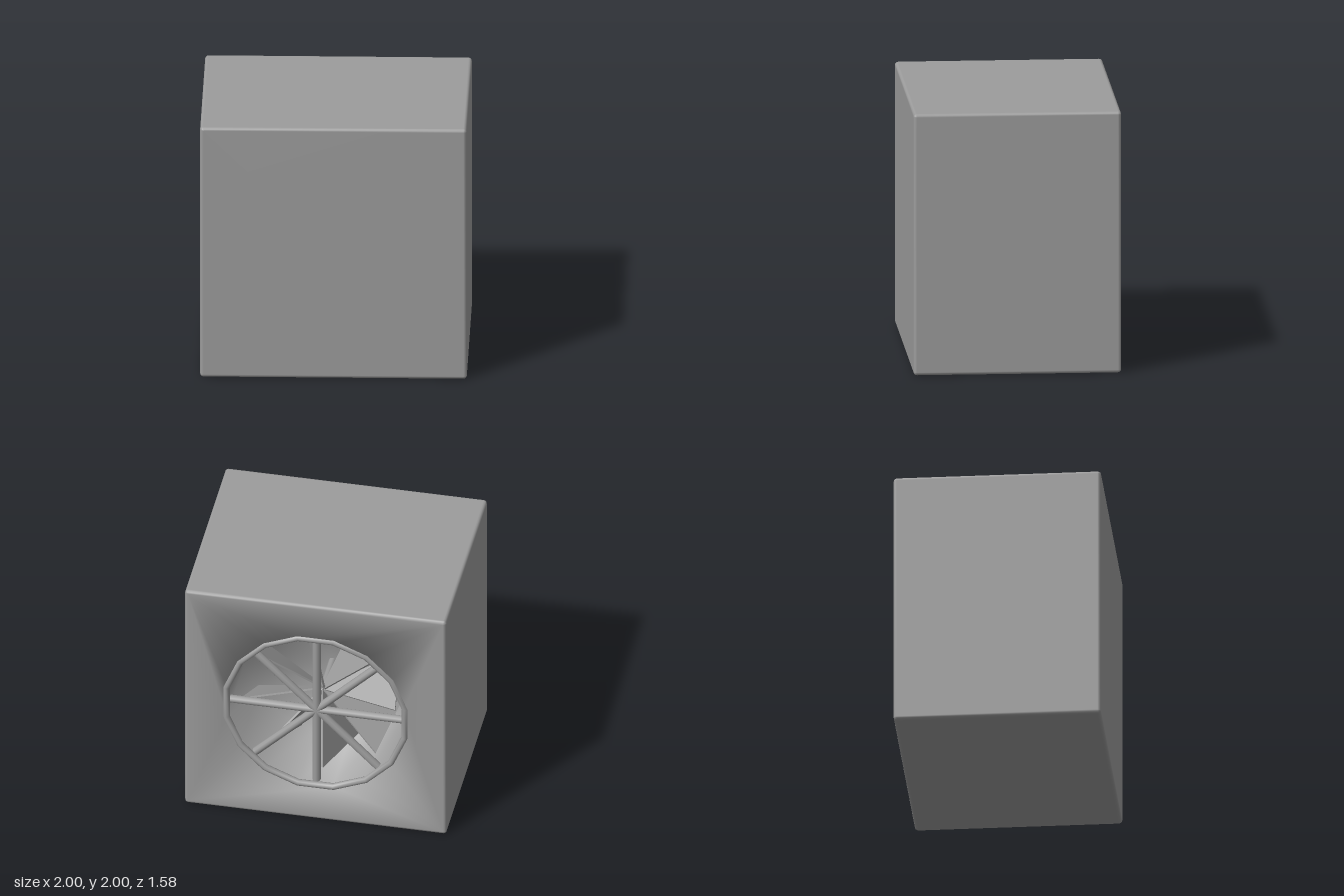
import * as THREE from 'three';

const FRONT = 0.785, BACK = -0.775, EDGE = 0.025, HOLE = 0.69, FLOOR = -0.12;
const SIDES = 16;
const grey = new THREE.MeshStandardMaterial({ color: 0x9c9c9c });

function add(parent, name, geometry) {
  const mesh = new THREE.Mesh(geometry, grey);
  mesh.name = name;
  parent.add(mesh);
  return mesh;
}

// Rounded square outline, four points per corner
function square(half, radius, z) {
  return Array.from({ length: SIDES }, (_, i) => {
    const corner = Math.floor(i / 4);
    const a = (corner + (i % 4) / 3) * Math.PI / 2;
    const sx = corner === 0 || corner === 3 ? 1 : -1, sy = corner < 2 ? 1 : -1;
    return [sx * half + radius * Math.cos(a), sy * half + radius * Math.sin(a), z];
  });
}

function circle(radius, z) {
  return Array.from({ length: SIDES }, (_, i) => {
    const a = (i + 0.5) * 2 * Math.PI / SIDES;
    return [radius * Math.cos(a), radius * Math.sin(a), z];
  });
}

// Joins closed sections, listed from the front around to the recess floor
function loft(sections) {
  const index = [];
  for (let s = 0; s < sections.length - 1; s++) {
    for (let i = 0; i < SIDES; i++) {
      const a = s * SIDES + i, b = s * SIDES + (i + 1) % SIDES;
      index.push(a, a + SIDES, b, b, a + SIDES, b + SIDES);
    }
  }
  const geometry = new THREE.BufferGeometry();
  geometry.setAttribute('position', new THREE.Float32BufferAttribute(sections.flat(2), 3));
  geometry.setIndex(index);
  geometry.computeVertexNormals();
  return geometry;
}

export function createModel() {
  const model = new THREE.Group();
  model.name = 'boxFan';
  const center = new THREE.Group();
  center.name = 'fanBody';
  center.position.y = 1;
  model.add(center);

  // Housing: soft-edged box with a round recess in the back, shaded smoothly into the opening
  const sections = [circle(0, FRONT)];
  for (const end of [1, -1]) {
    for (let k = 0; k <= 3; k++) {
      const a = (end > 0 ? k : 3 - k) * Math.PI / 6;
      const z = (end > 0 ? FRONT : BACK) - end * EDGE * (1 - Math.cos(a));
      sections.push(square(1 - EDGE, EDGE * Math.sin(a), z));
    }
  }
  sections.push(circle(HOLE, BACK), circle(HOLE, FLOOR), circle(0, FLOOR));
  add(center, 'housing', loft(sections));

  // Everything below is laid out as seen from behind
  const assembly = new THREE.Group();
  assembly.name = 'fanAssembly';
  assembly.rotation.y = Math.PI;
  center.add(assembly);

  // Rim around the opening
  const rim = add(assembly, 'rim', new THREE.TorusGeometry(0.695, 0.026, 8, SIDES));
  rim.rotation.z = Math.PI / SIDES;
  rim.position.z = 0.764;

  // Guard of four crossing rods
  for (let i = 0; i < 4; i++) {
    const rod = add(assembly, 'guardRod', new THREE.CylinderGeometry(0.031, 0.031, 1.32, 10));
    rod.rotation.z = i * Math.PI / 4;
    rod.position.z = 0.725;
  }

  // Rotor: shaft and eight steeply pitched, flaring blades
  const rotor = new THREE.Group();
  rotor.name = 'rotor';
  rotor.position.z = 0.45;
  assembly.add(rotor);
  const shaft = add(rotor, 'shaft', new THREE.CylinderGeometry(0.03, 0.03, 0.36, 10));
  shaft.rotation.x = Math.PI / 2;
  shaft.position.z = -0.16;

  const outline = new THREE.Shape([
    new THREE.Vector2(0, -0.02), new THREE.Vector2(0.58, -0.24),
    new THREE.Vector2(0.58, 0.24), new THREE.Vector2(0, 0.02),
  ]);
  const bladeGeometry = new THREE.ExtrudeGeometry(outline, { depth: 0.014, bevelEnabled: false });
  bladeGeometry.translate(0, 0, -0.007);
  for (let i = 0; i < 8; i++) {
    const blade = add(rotor, 'blade', bladeGeometry);
    blade.rotation.set(-1.13, 0, 0.23 + i * Math.PI / 4, 'ZYX');
  }
  return model;
}
